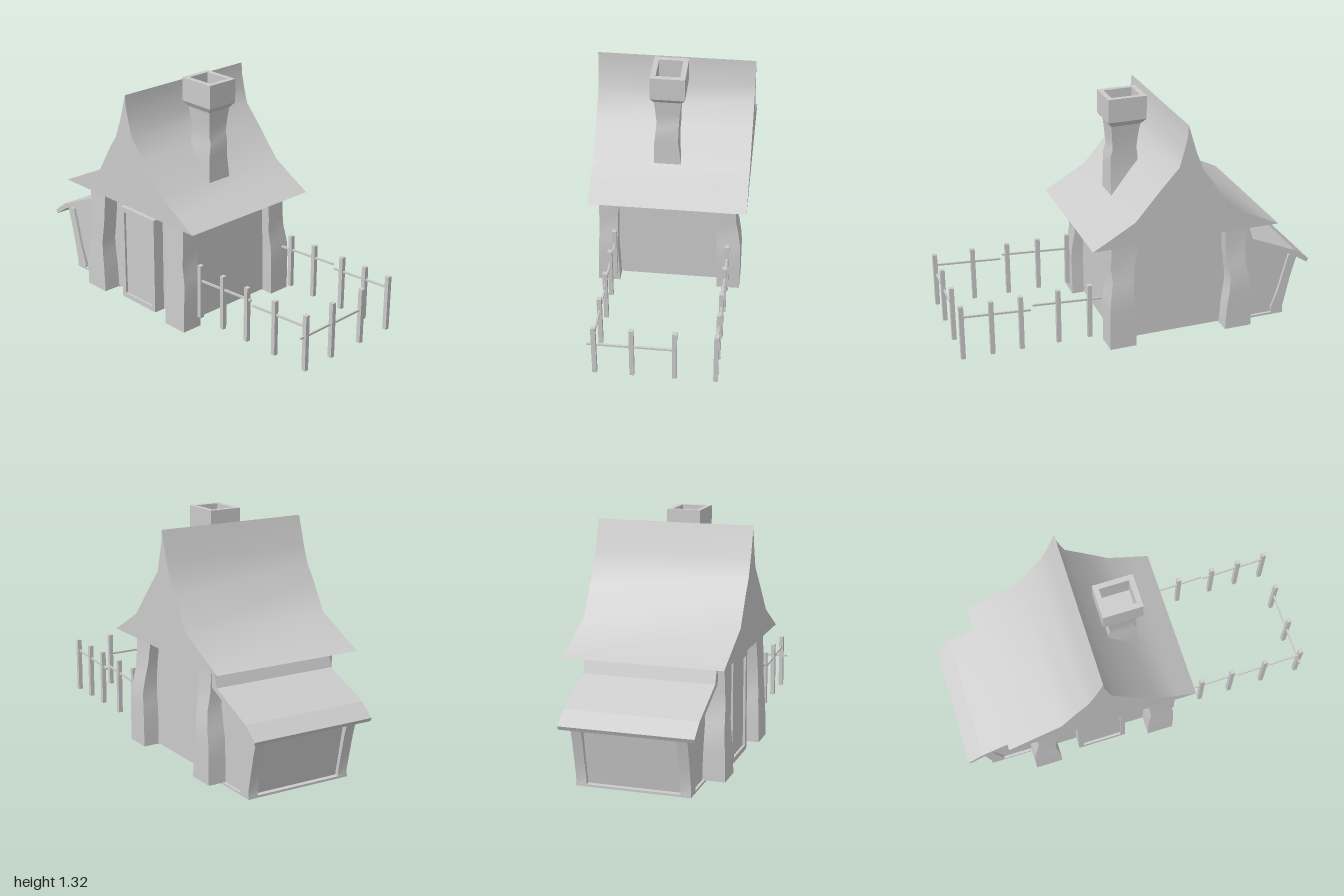
import * as THREE from 'three';
import { toCreasedNormals } from 'three/addons/utils/BufferGeometryUtils.js';

const material = new THREE.MeshStandardMaterial({ color: 0xcccccc });

function part(name, geometry, parent) {
  const mesh = new THREE.Mesh(geometry, material);
  mesh.name = name;
  parent.add(mesh);
  return mesh;
}

// Box given by its limits on each axis
function block(name, [x0, x1], [y0, y1], [z0, z1], parent) {
  const g = new THREE.BoxGeometry(x1 - x0, y1 - y0, z1 - z0);
  g.translate((x0 + x1) / 2, (y0 + y1) / 2, (z0 + z1) / 2);
  return part(name, g, parent);
}

// Front outline carried along z, with soft shading below the crease angle
function prism(name, points, z0, z1, parent, crease = 0.2) {
  const shape = new THREE.Shape(points.map(p => new THREE.Vector2(...p)));
  const g = new THREE.ExtrudeGeometry(shape, { depth: z1 - z0, bevelEnabled: false });
  g.translate(0, 0, z0);
  return part(name, toCreasedNormals(g, crease), parent);
}

// Rectangular sections [y, x0, x1, z0, z1] stacked from bottom to top
function loft(name, rows, parent) {
  const pos = [], idx = [];
  for (const [y, x0, x1, z0, z1] of rows) pos.push(x0, y, z1, x1, y, z1, x1, y, z0, x0, y, z0);
  for (let r = 0; r < rows.length - 1; r++) {
    for (let i = 0; i < 4; i++) {
      const a = r * 4 + i, b = r * 4 + (i + 1) % 4;
      idx.push(a, b, b + 4, a, b + 4, a + 4);
    }
  }
  const t = (rows.length - 1) * 4;
  idx.push(0, 2, 1, 0, 3, 2, t, t + 1, t + 2, t, t + 2, t + 3);
  const g = new THREE.BufferGeometry();
  g.setAttribute('position', new THREE.Float32BufferAttribute(pos, 3));
  g.setIndex(idx);
  return part(name, toCreasedNormals(g, 0.5), parent);
}

// Rectangular ring in the xy plane, carried along z
function ring(name, [x0, x1], [y0, y1], border, depth, parent) {
  const rect = (C, b) => new C([[x0 + b, y0 + b], [x1 - b, y0 + b], [x1 - b, y1 - b], [x0 + b, y1 - b]]
    .map(p => new THREE.Vector2(...p)));
  const shape = rect(THREE.Shape, 0);
  shape.holes.push(rect(THREE.Path, border));
  return part(name, new THREE.ExtrudeGeometry(shape, { depth, bevelEnabled: false }), parent);
}

function buildHouse(root) {
  const house = new THREE.Group();
  house.name = 'house';
  root.add(house);

  block('walls', [-0.57, 0.12], [0.015, 0.64], [-0.31, 0.3], house);

  // Swept roof with a leaning, pointed ridge
  prism('mainRoof', [
    [-0.765, 0.63], [0.295, 0.63], [0.19, 0.69], [0.06, 0.765], [-0.085, 0.935], [-0.18, 1.04],
    [-0.205, 1.13], [-0.222, 1.2], [-0.227, 1.267], [-0.275, 1.11], [-0.315, 1.01], [-0.365, 0.94], [-0.465, 0.775],
  ], -0.428, 0.428, house, 0.8);

  // Crooked corner posts: heights and limits across and along the house
  const ys = [0.01, 0.14, 0.24, 0.31, 0.4, 0.48, 0.63];
  const across = {
    right: [[-0.64, -0.485], [-0.638, -0.492], [-0.635, -0.505], [-0.62, -0.51],
      [-0.602, -0.497], [-0.602, -0.487], [-0.61, -0.48]],
    left: [[0.04, 0.19], [0.04, 0.19], [0.045, 0.19], [0.055, 0.185],
      [0.05, 0.17], [0.043, 0.175], [0.015, 0.17]],
  };
  const along = {
    front: [[0.28, 0.402], [0.283, 0.4], [0.288, 0.395], [0.288, 0.392],
      [0.285, 0.39], [0.283, 0.388], [0.26, 0.385]],
    back: [[-0.4, -0.272], [-0.4, -0.27], [-0.4, -0.267], [-0.397, -0.265],
      [-0.383, -0.262], [-0.368, -0.258], [-0.365, -0.25]],
  };
  for (const s in across) {
    for (const e in along) {
      loft(`${e}CornerPost_${s}`, ys.map((y, i) => [y, ...across[s][i], ...along[e][i]]), house);
    }
  }

  // Door
  ring('doorFrame', [-0.37, -0.09], [0.012, 0.57], 0.028, 0.075, house).position.z = 0.29;
  block('doorPanel', [-0.345, -0.115], [0.035, 0.545], [0.29, 0.352], house);
}

function buildLeanTo(root) {
  const leanTo = new THREE.Group();
  leanTo.name = 'leanTo';
  root.add(leanTo);
  prism('leanToWalls', [[-0.85, 0.003], [-0.49, 0.003], [-0.49, 0.56], [-0.61, 0.525], [-0.92, 0.37]],
    -0.3, 0.28, leanTo);
  block('leanToFloor', [-0.88, -0.49], [0, 0.012], [-0.315, 0.295], leanTo);
  prism('leanToRoof', [
    [-1, 0.345], [-0.99, 0.325], [-0.9, 0.385], [-0.61, 0.515], [-0.57, 0.63],
    [-0.615, 0.63], [-0.65, 0.525], [-0.915, 0.41],
  ], -0.36, 0.35, leanTo);

  // Bowed corner posts
  const rows = [[0, -0.88, -0.81], [0.04, -0.877, -0.805], [0.15, -0.9, -0.845],
    [0.25, -0.922, -0.87], [0.365, -0.955, -0.9]];
  for (const [name, z0, z1] of [['front', 0.24, 0.295], ['back', -0.315, -0.26]]) {
    loft(`leanToPost_${name}`, rows.map(r => [...r, z0, z1]), leanTo);
  }
}

function buildChimney(root) {
  const chimney = new THREE.Group();
  chimney.name = 'chimney';
  root.add(chimney);
  loft('chimneyStack', [
    [0.755, -0.105, 0.065, -0.055, 0.095], [0.9, -0.095, 0.062, -0.037, 0.092],
    [0.98, -0.092, 0.062, -0.039, 0.083], [1.02, -0.085, 0.05, -0.04, 0.08],
    [1.09, -0.092, 0.055, -0.045, 0.085], [1.165, -0.102, 0.062, -0.055, 0.092],
  ], chimney);
  loft('chimneyCollar', [
    [1.16, -0.102, 0.062, -0.055, 0.092], [1.19, -0.13, 0.086, -0.075, 0.11],
  ], chimney);
  const rim = ring('chimneyRim', [-0.13, 0.086], [-0.11, 0.075], 0.028, 0.13, chimney);
  rim.rotation.x = -Math.PI / 2;
  rim.position.y = 1.19;
}

function buildFence(root) {
  const fence = new THREE.Group();
  fence.name = 'fence';
  root.add(fence);
  const posts = [
    ...[0.215, 0.39, 0.57, 0.77, 0.985].map(x => [x, 0.3]),
    ...[0.285, 0.46, 0.665, 0.825, 0.985].map(x => [x, -0.33]),
    [0.985, 0.105], [0.985, -0.117],
  ];
  for (const [x, z] of posts) {
    block('fencePost', [x - 0.012, x + 0.012], [0.08, 0.39], [z - 0.012, z + 0.012], fence);
  }

  // Slightly tilted rails
  const rail = (a, b) => {
    const p = new THREE.Vector3(...a), q = new THREE.Vector3(...b);
    const mesh = part('fenceRail', new THREE.BoxGeometry(0.01, 0.01, p.distanceTo(q)), fence);
    mesh.position.copy(p).lerp(q, 0.5);
    mesh.lookAt(q);
  };
  for (const z of [0.3, -0.33]) {
    rail([0.215, 0.3, z], [0.6, 0.325, z]);
    rail([0.61, 0.3, z], [0.985, 0.325, z]);
  }
  rail([0.982, 0.27, 0.335], [0.982, 0.27, -0.12]);
}

export function createModel() {
  const root = new THREE.Group();
  root.name = 'cottage';
  buildHouse(root);
  buildLeanTo(root);
  buildChimney(root);
  buildFence(root);
  return root;
}
